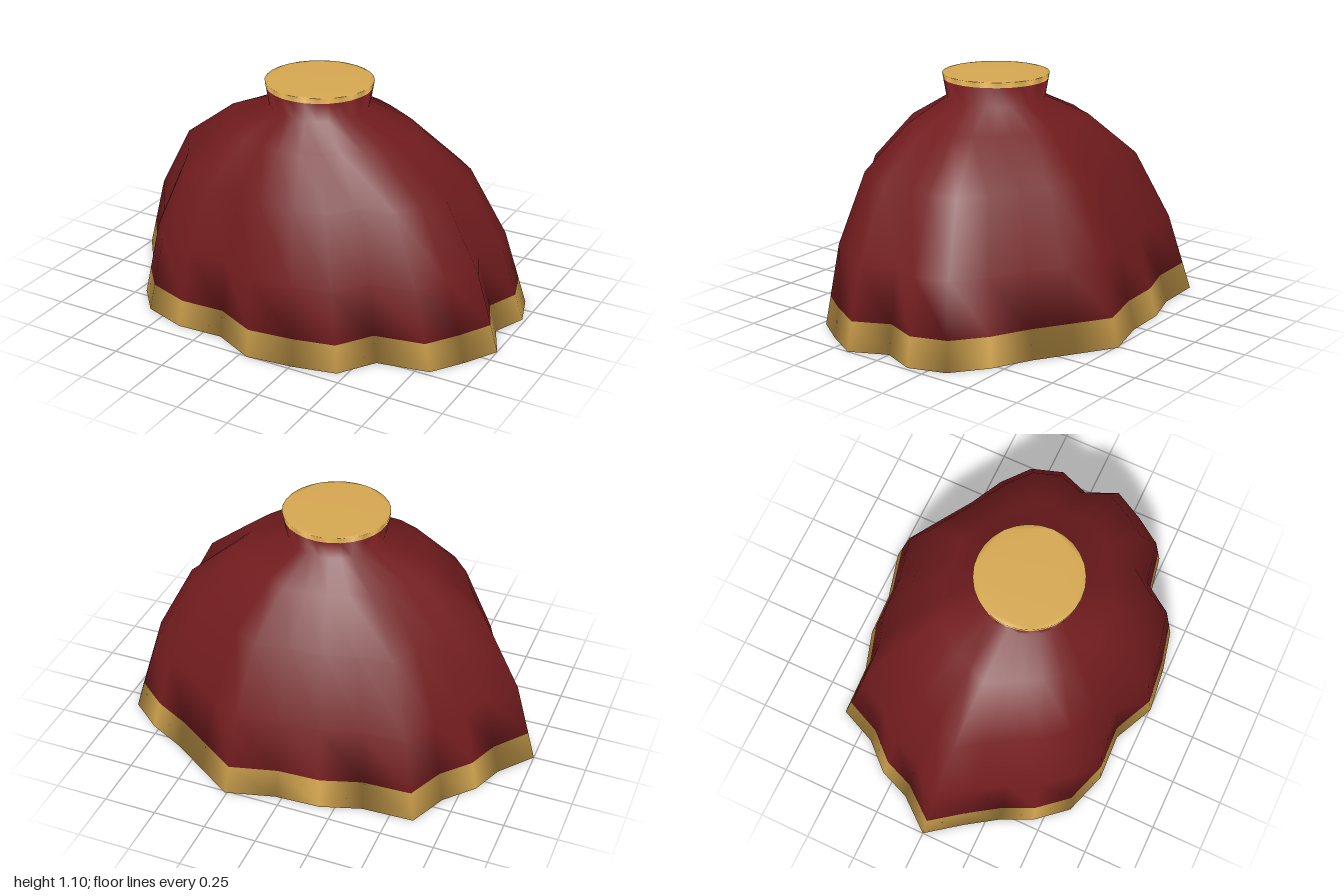
import * as THREE from 'three';

// Wavy hem outline, as x, z pairs clockwise from the model's right side
const HEM = [
  -1, 0, -0.87, -0.16, -0.81, -0.31, -0.69, -0.44, -0.61, -0.62, -0.37, -0.63, -0.18, -0.69,
  0.03, -0.70, 0.26, -0.76, 0.43, -0.65, 0.60, -0.54, 0.78, -0.45, 0.93, -0.33, 0.985, -0.16,
  0.92, 0, 1, 0.17, 0.91, 0.33, 0.81, 0.475, 0.57, 0.52, 0.46, 0.685, 0.26, 0.73,
  0.04, 0.755, -0.16, 0.66, -0.38, 0.67, -0.59, 0.60, -0.71, 0.46, -0.78, 0.31, -0.88, 0.16,
];
const N = HEM.length / 2;
const CX = 0.035, CZ = 0.078;

// Ring blended between the neck circle (t = 0) and the hem outline (t = 1)
function ring(y, t, radius = 0.23, shiftZ = 0) {
  return Array.from({ length: N }, (_, i) => {
    const a = (i / N) * Math.PI * 2;
    const x = CX - radius * Math.cos(a);
    const z = CZ - radius * Math.sin(a);
    return [x + (HEM[2 * i] - x) * t, y, z + (HEM[2 * i + 1] - z) * t + shiftZ];
  });
}

// Ring on the straight wall between two others, for a colour border
const between = (a, b, t) => a.map((p, i) => p.map((v, k) => v + (b[i][k] - v) * t));

// Wall triangles from ring number `from` up to ring number `to`
function wall(from, to) {
  const index = [];
  for (let r = from; r < to; r++) {
    for (let i = 0; i < N; i++) {
      const j = (i + 1) % N;
      const a = r * N + i, b = a + N, c = (r + 1) * N + j, d = r * N + j;
      index.push(a, b, c, a, c, d);
    }
  }
  return index;
}

// Flat lid over ring number r, facing up or down
function lid(points, r, up) {
  const flat = points.map(([x, , z]) => new THREE.Vector2(x, z));
  return THREE.ShapeUtils.triangulateShape(flat, []).flatMap(([a, b, c]) => {
    const ab = flat[b].clone().sub(flat[a]);
    const ac = flat[c].clone().sub(flat[a]);
    const order = (ab.cross(ac) < 0) === up ? [a, b, c] : [a, c, b];
    return order.map((i) => r * N + i);
  });
}

export function createModel() {
  const red = new THREE.MeshStandardMaterial({ color: 0x721c1e });
  red.name = 'dark red cloth';
  const gold = new THREE.MeshStandardMaterial({ color: 0xd4a650 });
  gold.name = 'gold trim';

  // Cross-sections from the hem up to the flared collar
  const hem = ring(0, 1);
  const skirt = ring(0.37, 0.86, 0.23, 0.017);
  const neck = ring(0.985, 0);
  const rim = ring(1.1, 0, 0.25);
  const hemSplit = 0.13 / 0.37, rimSplit = 0.78;
  const rings = [
    hem,
    between(hem, skirt, hemSplit),
    skirt,
    ring(0.69, 0.635, 0.23, 0.025),
    ring(0.89, 0.3, 0.23, 0.016),
    neck,
    between(neck, rim, rimSplit),
    rim,
  ];
  const top = rings.length - 1;

  // One closed, smooth skin whose vertices all parts share
  const hemFaces = [...lid(hem, 0, false), ...wall(0, 1)];
  const drapeFaces = wall(1, top - 1);
  const collarFaces = [...wall(top - 1, top), ...lid(rim, top, true)];
  const skin = new THREE.BufferGeometry();
  skin.setAttribute('position', new THREE.Float32BufferAttribute(rings.flat(2), 3));
  skin.setIndex([...hemFaces, ...drapeFaces, ...collarFaces]);
  skin.computeVertexNormals();

  // Keep the shading continuous across the two colour borders
  const normals = skin.attributes.normal;
  const low = new THREE.Vector3(), high = new THREE.Vector3();
  for (const [r, t] of [[1, hemSplit], [top - 1, rimSplit]]) {
    for (let i = r * N; i < (r + 1) * N; i++) {
      low.fromBufferAttribute(normals, i - N);
      high.fromBufferAttribute(normals, i + N);
      low.lerp(high, t).normalize();
      normals.setXYZ(i, low.x, low.y, low.z);
    }
  }

  const model = new THREE.Group();
  model.name = 'cape';
  const add = (name, faces, material) => {
    const mesh = new THREE.Mesh(skin.clone().setIndex(faces), material);
    mesh.name = name;
    model.add(mesh);
  };
  add('hemTrim', hemFaces, gold);
  add('drape', drapeFaces, red);
  add('collarTrim', collarFaces, gold);

  return model;
}
